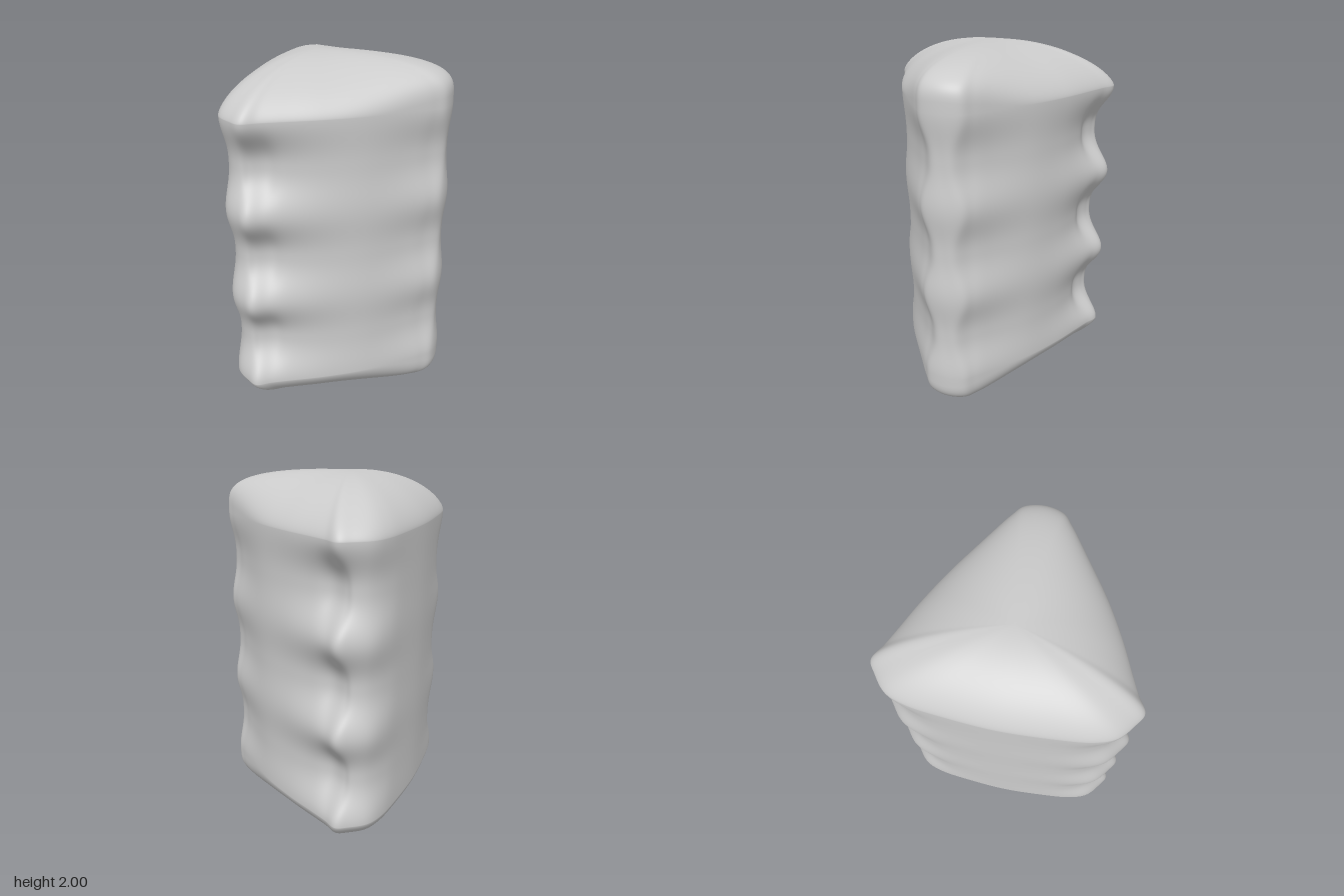
import * as THREE from 'three';
import { mergeVertices } from 'three/addons/utils/BufferGeometryUtils.js';

const AROUND = 180;
const CENTRE_X = -0.15; // apex of the domed ends
const RIM = 0.25; // height of each domed end

// Half outlines (x, z) from the narrow ridge round to the middle of the flat back.
const BULGE = [
  [0.575, 0], [0.555, 0.1], [0.5, 0.153], [0.42, 0.215], [0.2, 0.375], [0, 0.485], [-0.18, 0.565],
  [-0.28, 0.61], [-0.355, 0.65], [-0.42, 0.615], [-0.5, 0.545], [-0.54, 0.44], [-0.56, 0.28], [-0.575, 0],
];
const PINCH = [
  [0.555, 0], [0.545, 0.06], [0.48, 0.12], [0.4, 0.195], [0.2, 0.36], [0, 0.46], [-0.18, 0.51],
  [-0.28, 0.505], [-0.36, 0.535], [-0.41, 0.548], [-0.475, 0.505], [-0.525, 0.41], [-0.555, 0.27], [-0.573, 0],
];

// Mirror a half outline in z and sample it as a smooth closed loop.
function outline(half) {
  const mirrored = half.slice(1, -1).reverse().map(([x, z]) => [x, -z]);
  const points = [...half, ...mirrored].map(([x, z]) => new THREE.Vector3(x, 0, z));
  const curve = new THREE.CatmullRomCurve3(points, true, 'catmullrom', 0.5);
  return Array.from({ length: AROUND }, (_, i) => curve.getPoint(i / AROUND));
}

function createBody() {
  const bulge = outline(BULGE);
  const pinch = outline(PINCH);
  const rings = [];

  // Domed end: scaled outlines, with a squarer shoulder towards the narrow ridge.
  const capRing = (s, top) => bulge.map((p) => {
    const dx = p.x - CENTRE_X;
    const towardsRidge = Math.max(0, dx / Math.hypot(dx, p.z)) ** 4;
    const power = THREE.MathUtils.lerp(0.68, 0.23, towardsRidge);
    const rise = RIM * Math.max(0, 1 - s * s) ** power;
    return [CENTRE_X + dx * s, top ? 2 - RIM + rise : RIM - rise, p.z * s];
  });
  const CAP = 36;
  const scale = (i) => (i === CAP ? 1 : Math.sin((i / CAP) * Math.PI / 2));
  for (let i = 0; i <= CAP; i++) rings.push(capRing(scale(i), true));

  // Rippled sides: four bulges with three pinches between them.
  const ROWS = 96;
  for (let i = 1; i < ROWS; i++) {
    const t = i / ROWS;
    const w = (0.5 + 0.5 * Math.cos(t * Math.PI * 6)) ** 1.3;
    const y = 2 - RIM - t * (2 - 2 * RIM);
    rings.push(bulge.map((b, j) => {
      const p = pinch[j].clone().lerp(b, w);
      return [p.x, y, p.z];
    }));
  }
  for (let i = CAP; i >= 0; i--) rings.push(capRing(scale(i), false));

  const index = [];
  for (let r = 0; r < rings.length - 1; r++) {
    for (let j = 0; j < AROUND; j++) {
      const k = (j + 1) % AROUND;
      const a = r * AROUND + j, b = r * AROUND + k;
      const c = a + AROUND, d = b + AROUND;
      if (r > 0) index.push(a, b, c);
      else index.push(a, d, c);
      if (r > 0 && r < rings.length - 2) index.push(b, d, c);
    }
  }
  const geometry = new THREE.BufferGeometry();
  geometry.setAttribute('position', new THREE.Float32BufferAttribute(rings.flat(2), 3));
  geometry.setIndex(index);
  const merged = mergeVertices(geometry, 1e-5);
  merged.computeVertexNormals();
  return merged;
}

export function createModel() {
  const group = new THREE.Group();
  group.name = 'rippledPrism';
  const body = new THREE.Mesh(createBody(), new THREE.MeshStandardMaterial({ color: 0xcccccc }));
  body.name = 'body';
  group.add(body);
  return group;
}
